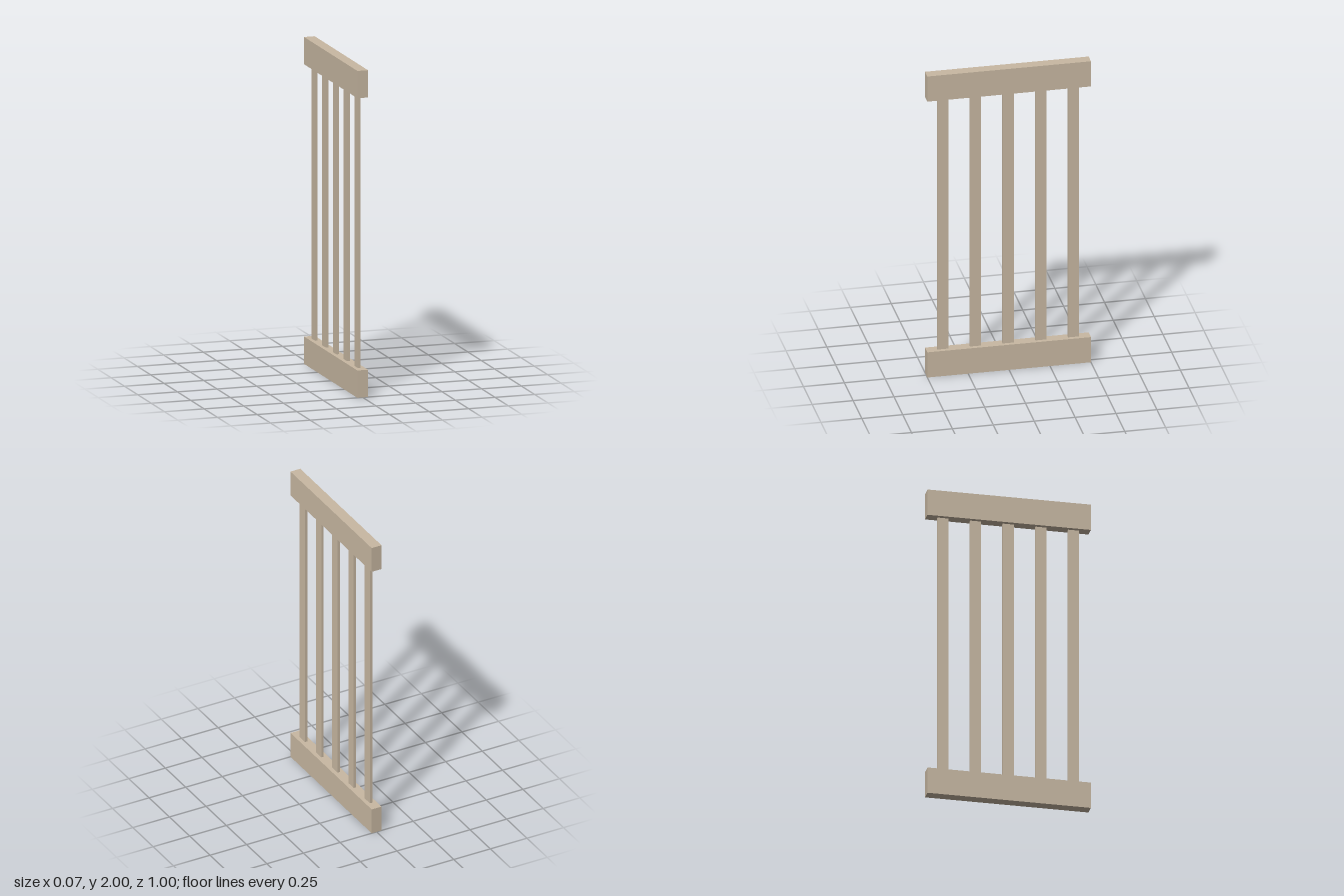
import * as THREE from 'three';

const WIDTH = 1;
const HEIGHT = 2;
const RAIL_HEIGHT = 0.167;
const RAIL_DEPTH = 0.067;
const SLAT_WIDTH = 0.067;
const SLAT_DEPTH = 0.0167;
const SLAT_COUNT = 5;
const SLAT_SPACING = 0.2;

export function createModel() {
  const model = new THREE.Group();
  model.name = 'slattedPanel';
  const wood = new THREE.MeshStandardMaterial({ color: 0xc8b8a2 });

  function addBoard(name, size, y, z) {
    const board = new THREE.Mesh(new THREE.BoxGeometry(...size), wood);
    board.name = name;
    board.position.set(0, y, z);
    model.add(board);
  }

  // Heavy rails along the bottom and top
  const railSize = [RAIL_DEPTH, RAIL_HEIGHT, WIDTH];
  addBoard('bottomRail', railSize, RAIL_HEIGHT / 2, 0);
  addBoard('topRail', railSize, HEIGHT - RAIL_HEIGHT / 2, 0);

  // Thin upright slats, evenly spaced between the rails
  const slatSize = [SLAT_DEPTH, HEIGHT - 2 * RAIL_HEIGHT, SLAT_WIDTH];
  for (let i = 0; i < SLAT_COUNT; i++) {
    const z = (i - (SLAT_COUNT - 1) / 2) * SLAT_SPACING;
    addBoard(`slat${i + 1}`, slatSize, HEIGHT / 2, z);
  }

  return model;
}
